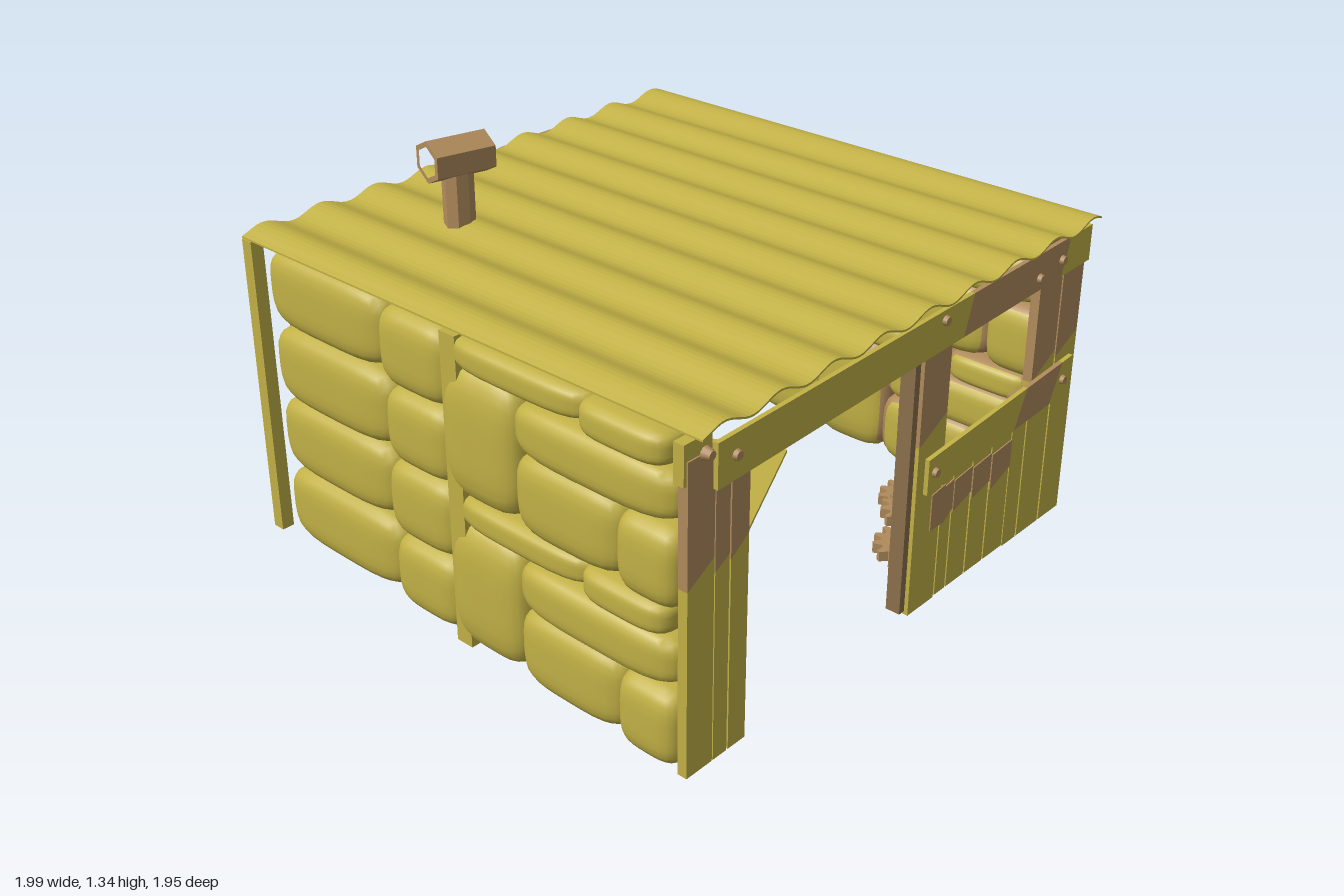
import * as THREE from 'three';

const mat = (name, color) => Object.assign(new THREE.MeshStandardMaterial({ color }), { name });

export function createModel() {
  const olive = mat('olive', 0xc2b146);
  const brown = mat('tan brown', 0xb08b5c);
  const metal = mat('stove iron', 0x8c704b);
  const root = new THREE.Group();
  root.name = 'sandbagHut';

  const add = (name, geo, material, x = 0, y = 0, z = 0, parent = root) => {
    const m = new THREE.Mesh(geo, material);
    m.name = name;
    m.position.set(x, y, z);
    parent.add(m);
    return m;
  };
  const box = (name, material, x0, x1, y0, y1, z0, z1, parent = root) =>
    add(name, new THREE.BoxGeometry(x1 - x0, y1 - y0, z1 - z0), material, (x0 + x1) / 2, (y0 + y1) / 2, (z0 + z1) / 2, parent);
  const flat = (name, material, pts, z, depth, parent = root) => {
    const s = new THREE.Shape(pts.map(p => new THREE.Vector2(p[0], p[1])));
    return add(name, new THREE.ExtrudeGeometry(s, { depth, bevelEnabled: false }), material, 0, 0, z, parent);
  };
  const group = name => {
    const g = new THREE.Group();
    g.name = name;
    root.add(g);
    return g;
  };

  // Sandbag: a box puffed out to a superellipsoid, coloured by side
  const bagGeometry = (sx, sy, sz) => {
    const g = new THREE.BoxGeometry(2, 2, 2, 8, 8, 8);
    const p = g.attributes.position, nrm = g.attributes.normal, n = 4;
    for (let i = 0; i < p.count; i++) {
      const c = [p.getX(i), p.getY(i), p.getZ(i)];
      const k = Math.pow(c.reduce((s, v) => s + Math.abs(v) ** n, 0), -1 / n);
      const q = c.map(v => v * k);
      const d = new THREE.Vector3(...q.map((v, j) => Math.sign(v) * Math.abs(v) ** (n - 1) / [sx, sy, sz][j])).normalize();
      p.setXYZ(i, q[0] * sx, q[1] * sy, q[2] * sz);
      nrm.setXYZ(i, d.x, d.y, d.z);
    }
    return g;
  };
  // Wall pattern: start and end along the wall, bottom and top
  const pattern = [
    [0.905, 0.70, 0.005, 0.255], [0.70, 0.30, 0.005, 0.268], [0.89, 0.30, 0.25, 0.42],
    [0.86, 0.56, 0.412, 0.522], [0.57, 0.05, 0.425, 0.53], [0.30, 0, 0.005, 0.43],
    [0.015, -0.27, 0.005, 0.257], [-0.27, -0.83, 0.005, 0.27], [0.015, -0.28, 0.255, 0.515],
    [-0.28, -0.83, 0.265, 0.528],
  ];
  // Each wall stands slightly askew
  const wall = (name, along, centre, mats) => {
    const g = group(name);
    for (const lift of [0, 0.505])
      for (const [a, b, y0, y1] of pattern) {
        const len = (a - b) / 2 + 0.012, h = (y1 - y0) / 2, thick = 0.105;
        const mid = (a + b) / 2, off = centre - 0.036 * mid, y = (y0 + y1) / 2 + lift;
        if (along === 'z') add('sandbag', bagGeometry(thick, h, len), mats, off, y, mid, g);
        else add('sandbag', bagGeometry(len, h, thick), mats, mid, y, off, g);
      }
  };
  wall('leftWall', 'z', 0.865, [brown, olive, brown, olive, brown, brown]);
  wall('rightWall', 'z', -0.868, [brown, olive, olive, olive, olive, olive]);
  wall('backWall', 'x', -0.845, [brown, brown, brown, olive, olive, brown]);

  // Wall posts
  const postMats = [olive, olive, olive, olive, olive, brown];
  for (const [x, z, h] of [[0.945, 0.043, 0.032], [0.945, -0.85, 0.03], [-0.94, 0.043, 0.032], [-0.925, -0.895, 0.022]])
    box('wallPost', postMats, x - 0.022, x + 0.022, 0, 1.03, z - h, z + h);

  // Corrugated roof: a thin wavy strip
  const top = [], under = [], steps = 108;
  for (let i = 0; i <= steps; i++) {
    const x = -0.95 + 1.885 * i / steps;
    const y = 1.051 + 0.014 * Math.cos((x + 0.87) * Math.PI * 2 / 0.2194);
    top.push([x, y]);
    under.unshift([x, y - 0.006]);
  }
  flat('corrugatedRoof', olive, [...under, ...top], -0.91, 1.875);

  // Upright front planks, bare below and brown above a slanted line
  const front = group('frontWall');
  const plank = (x0, x1, height, cut0, cut1) => {
    flat('plankLower', olive, [[x0, 0.005], [x1, 0.005], [x1, cut1], [x0, cut0]], 0.908, 0.032, front);
    flat('plankUpper', brown, [[x0, cut0], [x1, cut1], [x1, height], [x0, height]], 0.908, 0.032, front);
  };
  plank(-0.975, -0.872, 0.98, 0.6, 0.66);
  plank(-0.868, -0.812, 0.97, 0.61, 0.64);
  plank(-0.806, -0.735, 0.97, 0.62, 0.67);
  plank(0.035, 0.17, 0.97, 0.59, 0.66);
  plank(0.56, 0.638, 0.55, 0.52, 0.54);
  plank(0.645, 0.772, 0.98, 0.57, 0.64);
  plank(0.78, 0.9, 0.99, 0.61, 0.67);
  for (const [a, b] of [[0.176, 0.232], [0.238, 0.335], [0.342, 0.44], [0.447, 0.555]])
    box('shortPlank', olive, a, b, 0.01, 0.5, 0.908, 0.94, front);
  for (const [a, b, y0, y1] of [[0.12, 0.19, 0.27, 0.27], [0.19, 0.235, 0.27, 0.3], [0.24, 0.335, 0.285, 0.315], [0.342, 0.44, 0.285, 0.305], [0.447, 0.555, 0.27, 0.31]])
    flat('paintPatch', brown, [[a, y0], [b, y1], [b, 0.405], [a, 0.395]], 0.94, 0.004, front);
  box('cornerPlank', olive, -0.985, -0.88, 0.91, 1.03, 0.9, 0.935, front);

  // Nailed cross boards: split into colours along their length
  const crossBoard = (name, xa, xb, la, lb, ha, hb, cuts, lean, z) => {
    const xs = [xa, ...cuts, xb], t = x => (x - xa) / (xb - xa);
    for (let i = 0; i < xs.length - 1; i++) {
      const s0 = i ? lean : 0, s1 = i < cuts.length ? lean : 0;
      const lo = x => la + (lb - la) * t(x), hi = x => ha + (hb - ha) * t(x);
      const [a, b, c, d] = [xs[i] - s0, xs[i + 1] - s1, xs[i + 1] + s1, xs[i] + s0];
      flat(name, i % 2 ? brown : olive, [[a, lo(a)], [b, lo(b)], [c, hi(c)], [d, hi(d)]], z, 0.015, front);
    }
  };
  crossBoard('topBeam', -0.88, 0.9, 0.865, 0.915, 1.0, 1.035, [0.225, 0.755], 0.02, 0.94);
  crossBoard('windowSill', 0.072, 0.865, 0.42, 0.467, 0.54, 0.592, [0.57, 0.775], 0.03, 0.94);
  for (const [x, y] of [[-0.915, 0.985], [-0.81, 0.94], [0.1, 0.987], [0.605, 0.947], [0.73, 0.968], [0.105, 0.488], [0.81, 0.525]])
    add('bolt', new THREE.CylinderGeometry(0.013, 0.02, 0.025, 12).rotateX(Math.PI / 2), brown, x, y, 0.955, front);

  // Door frame and open door
  box('doorFrame', metal, -0.735, -0.72, 0.02, 0.88, 0.86, 0.905);
  box('doorFrame', metal, 0.005, 0.03, 0.02, 0.9, 0.88, 0.93);
  const door = group('openDoor');
  door.position.set(-0.715, 0, 0.78);
  door.rotation.y = -0.08;
  box('doorPanel', metal, -0.01, 0.01, 0.02, 0.37, -0.46, 0, door);
  for (const z of [-0.46, -0.31, -0.17, -0.03]) box('doorSlat', metal, -0.01, 0.01, 0.37, 0.84, z, z + 0.03, door);
  box('doorRail', metal, -0.01, 0.01, 0.84, 0.88, -0.46, 0, door);

  // Stove turned towards the doorway, with arched door, hood and flue
  const stove = group('stove');
  stove.position.set(-0.43, 0, -0.48);
  stove.rotation.y = 0.4;
  box('stoveBody', metal, -0.185, 0.185, 0.02, 0.45, -0.2, 0.2, stove);
  const arch = new THREE.Shape();
  arch.moveTo(-0.155, 0.085).lineTo(0.155, 0.085).lineTo(0.155, 0.235);
  arch.absarc(0, 0.235, 0.155, 0, Math.PI, false);
  add('stoveDoor', new THREE.ExtrudeGeometry(arch, { depth: 0.015, bevelEnabled: false }), brown, 0, 0, 0.2, stove);
  box('stoveHandle', metal, 0.105, 0.115, 0.18, 0.25, 0.215, 0.235, stove);
  for (const x of [-0.17, 0.17])
    for (const y of [0.04, 0.43]) box('stoveRivet', brown, x - 0.007, x + 0.007, y - 0.007, y + 0.007, 0.2, 0.208, stove);
  const hood = new THREE.CylinderGeometry(0.13, 0.22, 0.13, 4, 1).rotateY(Math.PI / 4).toNonIndexed();
  hood.computeVertexNormals();
  add('stoveHood', hood, brown, 0, 0.515, 0, stove);
  const flue = new THREE.CylinderGeometry(0.05, 0.05, 0.66, 8).toNonIndexed();
  flue.computeVertexNormals();
  add('fluePipe', flue, brown, -0.445, 0.9, -0.48);

  // Hollow six-sided flue cap
  const hexagon = r => Array.from({ length: 6 }, (_, i) =>
    new THREE.Vector2(1.15 * r * Math.sin(i * Math.PI / 3), r * Math.cos(i * Math.PI / 3)));
  const ring = new THREE.Shape(hexagon(0.068));
  ring.holes.push(new THREE.Path(hexagon(0.05)));
  const cap = add('flueCap', new THREE.ExtrudeGeometry(ring, { depth: 0.2, bevelEnabled: false })
    .translate(0, 0, -0.1).rotateY(Math.PI / 2), brown, -0.445, 1.27, -0.48);
  cap.rotation.y = -0.23;

  // Back shelves with boards, bottles and candles
  const shelf = group('shelves');
  for (const y of [0.34, 0.5]) box('shelfBoard', brown, -0.16, 0.62, y, y + 0.02, -0.72, -0.52, shelf);
  for (const x of [-0.15, 0.6]) box('shelfLeg', brown, x - 0.012, x + 0.012, 0.02, 0.5, -0.7, -0.67, shelf);
  box('standingBoard', brown, -0.21, -0.09, 0.51, 0.75, -0.7, -0.68, shelf);
  box('standingBoard', brown, 0.41, 0.52, 0.58, 0.83, -0.7, -0.68, shelf);
  const tilt = (x, y, w, h, r) => { box('leaningBoard', brown, x - w / 2, x + w / 2, y - h / 2, y + h / 2, -0.66, -0.63, shelf).rotation.z = r; };
  tilt(-0.04, 0.6, 0.05, 0.16, 0.45);
  tilt(0.46, 0.65, 0.2, 0.09, -0.65);
  const bottle = new THREE.LatheGeometry([[0, 0], [0.028, 0], [0.028, 0.09], [0.01, 0.13], [0.01, 0.17], [0, 0.17]].map(p => new THREE.Vector2(...p)), 10);
  box('lowShelf', brown, -0.16, 0.3, 0.15, 0.17, -0.72, -0.5, shelf);
  for (const x of [-0.09, 0.1, 0.2]) add('bottle', bottle, brown, x, 0.17, -0.6, shelf);
  for (let i = 0; i < 6; i++) box('storedRod', brown, -0.17 + i * 0.035, -0.15 + i * 0.035, 0.02, 0.12, -0.58, -0.55, shelf);
  for (const [x, y, z] of [[-0.53, 0.45, -0.3], [0.2, 0.56, -0.6], [-0.04, 0.17, -0.53]]) {
    add('candlePlate', new THREE.CylinderGeometry(0.035, 0.03, 0.012, 10), brown, x, y + 0.006, z, shelf);
    add('candle', new THREE.CylinderGeometry(0.018, 0.018, 0.06, 8), brown, x, y + 0.04, z, shelf);
  }
  box('candleStand', brown, 0.13, 0.27, 0.52, 0.56, -0.66, -0.54, shelf);

  // Turned floor plate with studs beneath
  const floor = group('floor');
  floor.position.set(0.07, 0, -0.1);
  floor.rotation.y = 0.445;
  box('floorPlate', olive, -0.37, 0.37, 0.012, 0.025, -0.345, 0.345, floor);
  for (const [x, z] of [[-0.2, -0.05], [0.12, -0.12], [0.08, 0.18]])
    add('floorStud', new THREE.CylinderGeometry(0.015, 0.015, 0.008, 8), brown, x, 0.01, z, floor);

  // Spare gears
  const gear = new THREE.Shape();
  const teeth = 14;
  for (let i = 0; i < teeth * 4; i++) {
    const a = i / (teeth * 4) * Math.PI * 2, r = i % 4 < 2 ? 0.12 : 0.093;
    i ? gear.lineTo(r * Math.cos(a), r * Math.sin(a)) : gear.moveTo(r, 0);
  }
  gear.holes.push(new THREE.Path().absarc(0, 0, 0.04, 0, Math.PI * 2, true));
  const gearGeo = new THREE.ExtrudeGeometry(gear, { depth: 0.035, bevelEnabled: false, curveSegments: 8 }).rotateX(-Math.PI / 2);
  for (const [x, y, z, tiltZ] of [[0.65, 0.03, -0.56, 0], [0.55, 0.03, 0.6, 0], [0.3, 0.03, 0.76, 0],
    [0.42, 0.08, 0.7, 0], [-0.14, 0.03, -0.64, 0], [-0.7, 0.13, -0.12, -1.25], [-0.64, 0.03, 0.08, 0]])
    add('gear', gearGeo, brown, x, y, z).rotation.z = tiltZ;

  return root;
}
